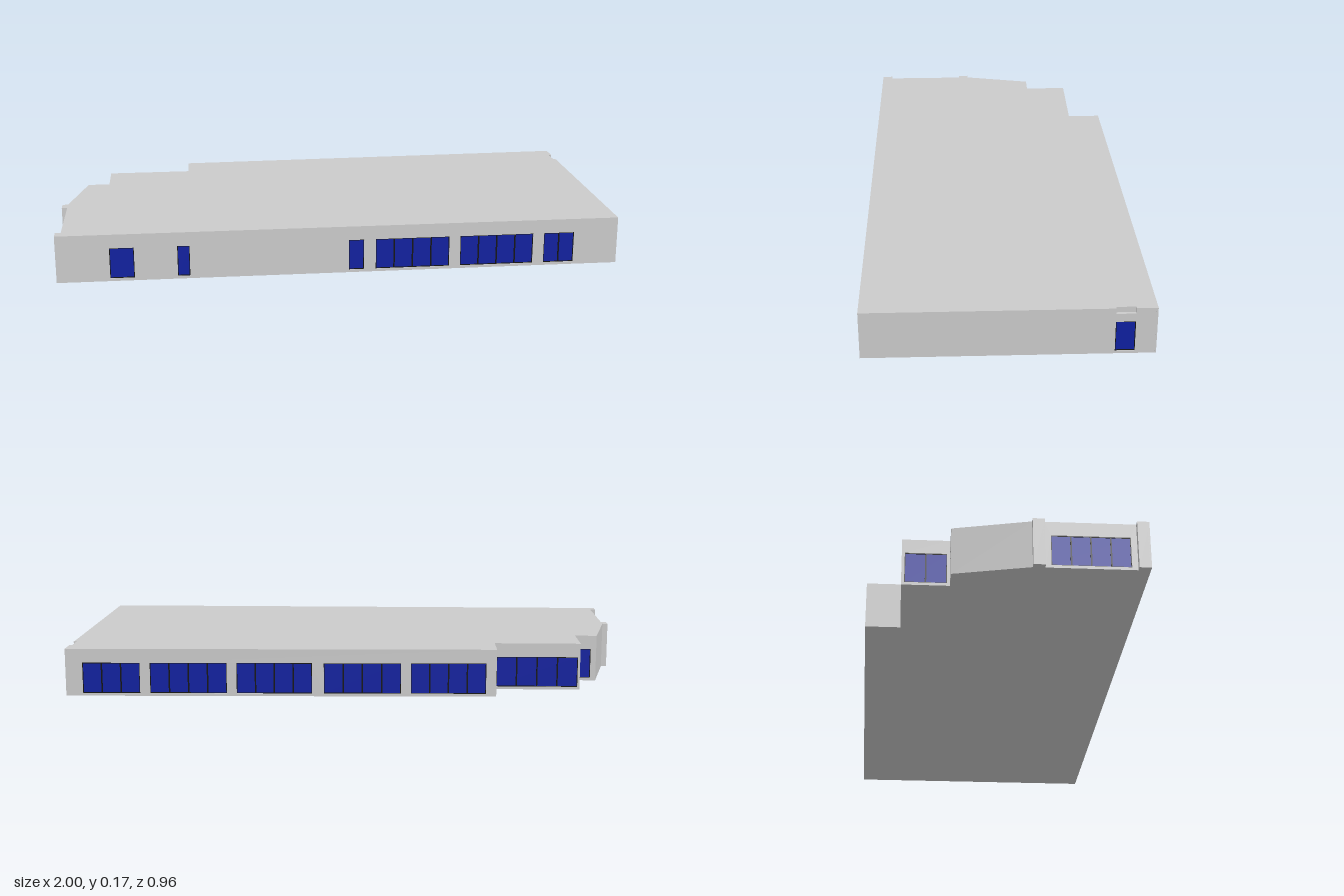
import * as THREE from 'three';

const HEIGHT = 0.17, SILL = 0.01, HEAD = 0.12, REVEAL = 0.006;
const NOTCH = { from: 0.825, to: 0.89, y: 0.15, depth: 0.01 };

const grey = new THREE.MeshStandardMaterial({ color: 0xcccccc });
const blue = new THREE.MeshStandardMaterial({ color: 0x0e1fa0 });
const black = new THREE.MeshStandardMaterial({ color: 0x111111 });

// Each wall starts at corner [x, z] and runs to the next one.
// Openings are [start, end, panes], measured along the wall.
const WALLS = [
  { at: [-1, 0.48], name: 'frontWall', openings: [[0.185, 0.27, 1], [0.42, 0.463, 1], [1.024, 1.078, 1],
    [1.12, 1.385, 4], [1.425, 1.69, 4], [1.73, 1.84, 2]] },
  { at: [1, 0.48], name: 'rightEndWall', openings: [[0.825, 0.89, 1]], notch: true },
  { at: [1, -0.48], name: 'backWall', openings: [[0.06, 0.264, 3], [0.3, 0.573, 4], [0.608, 0.876, 4],
    [0.918, 1.192, 4], [1.227, 1.494, 4]] },
  { at: [-0.53, -0.443], name: 'stepReturn' },
  { at: [-0.53, -0.32], name: 'bayBackWall', openings: [[0.008, 0.302, 4]] },
  { at: [-0.84, -0.32], name: 'bayEndWall', openings: [[0.01, 0.15, 2]] },
  { at: [-0.84, -0.16], name: 'entryWall', openings: [[0.01, 0.06, 1]] },
  { at: [-0.92, -0.16], name: 'slantedWall' },
  { at: [-0.98, 0.1], name: 'pierSide' },
  { at: [-1, 0.1], name: 'pierFace' },
  { at: [-1, 0.14], name: 'pierSide' },
  { at: [-0.98, 0.14], name: 'endWall', openings: [[0.02, 0.28, 4]] },
  { at: [-0.98, 0.44], name: 'pierSide' },
  { at: [-1, 0.44], name: 'pierFace' },
];

function polygon(points) {
  return new THREE.Shape(points.map(([x, y]) => new THREE.Vector2(x, y)));
}

function rect(x0, y0, x1, y1) {
  return polygon([[x0, y0], [x1, y0], [x1, y1], [x0, y1]]);
}

function part(name, geometry, material, z = 0) {
  const mesh = new THREE.Mesh(geometry, material);
  mesh.name = name;
  mesh.position.z = z;
  return mesh;
}

function extrude(shape, depth) {
  return new THREE.ExtrudeGeometry(shape, { depth, bevelEnabled: false });
}

// Recessed glazing with a slim dark frame and mullions
function makeWindow([start, end, panes]) {
  const group = new THREE.Group();
  group.name = 'window';
  const bar = 0.0025, pitch = (end - start) / panes;
  const frame = rect(start, SILL, end, HEAD);
  for (let i = 0; i < panes; i++) {
    const x = start + i * pitch;
    frame.holes.push(rect(x + bar, SILL + bar, x + pitch - bar, HEAD - bar));
  }
  group.add(part('glass', extrude(rect(start, SILL, end, HEAD), 0.002), blue, -REVEAL));
  group.add(part('windowFrame', extrude(frame, 0.002), black, -REVEAL + 0.002));
  return group;
}

// Wall panel with window openings and an optional notch in its top edge
function makeWall({ name, at, openings = [], notch }, next) {
  const dx = next[0] - at[0], dz = next[1] - at[1], length = Math.hypot(dx, dz);
  const group = new THREE.Group();
  group.name = name;
  group.position.set(at[0], 0, at[1]);
  group.rotation.y = Math.atan2(-dz, dx);

  const top = notch
    ? [[NOTCH.to, HEIGHT], [NOTCH.to, NOTCH.y], [NOTCH.from, NOTCH.y], [NOTCH.from, HEIGHT]]
    : [];
  const shape = polygon([[0, 0], [length, 0], [length, HEIGHT], ...top, [0, HEIGHT]]);
  for (const [start, end] of openings) shape.holes.push(rect(start, SILL, end, HEAD));
  group.add(part('wallPanel', extrude(shape, REVEAL), grey, -REVEAL));
  for (const opening of openings) group.add(makeWindow(opening));

  // Back and ledge of the roof-edge notch
  if (notch) {
    const lining = extrude(rect(NOTCH.from, NOTCH.y - 0.005, NOTCH.to, HEIGHT), 0.004);
    group.add(part('notchBack', lining, grey, -NOTCH.depth - 0.004));
    const ledge = extrude(rect(NOTCH.from, NOTCH.y - 0.005, NOTCH.to, NOTCH.y), NOTCH.depth);
    group.add(part('notchLedge', ledge, grey, -NOTCH.depth));
  }
  return group;
}

export function createModel() {
  const model = new THREE.Group();
  model.name = 'building';

  WALLS.forEach((wall, i) => model.add(makeWall(wall, WALLS[(i + 1) % WALLS.length].at)));

  // Flat roof, cut back at the notch in the right end
  const corners = WALLS.map((wall) => wall.at);
  const inner = 1 - NOTCH.depth, z0 = 0.48 - NOTCH.from, z1 = 0.48 - NOTCH.to;
  const roofLine = [...corners.slice(0, 2), [1, z0], [inner, z0], [inner, z1], [1, z1], ...corners.slice(2)];
  const roof = new THREE.ShapeGeometry(polygon(roofLine.map(([x, z]) => [x, -z])));
  roof.rotateX(-Math.PI / 2).translate(0, HEIGHT, 0);
  model.add(part('roof', roof, grey));

  // Underside
  const floor = new THREE.ShapeGeometry(polygon(corners));
  floor.rotateX(Math.PI / 2);
  model.add(part('floor', floor, grey));

  return model;
}
